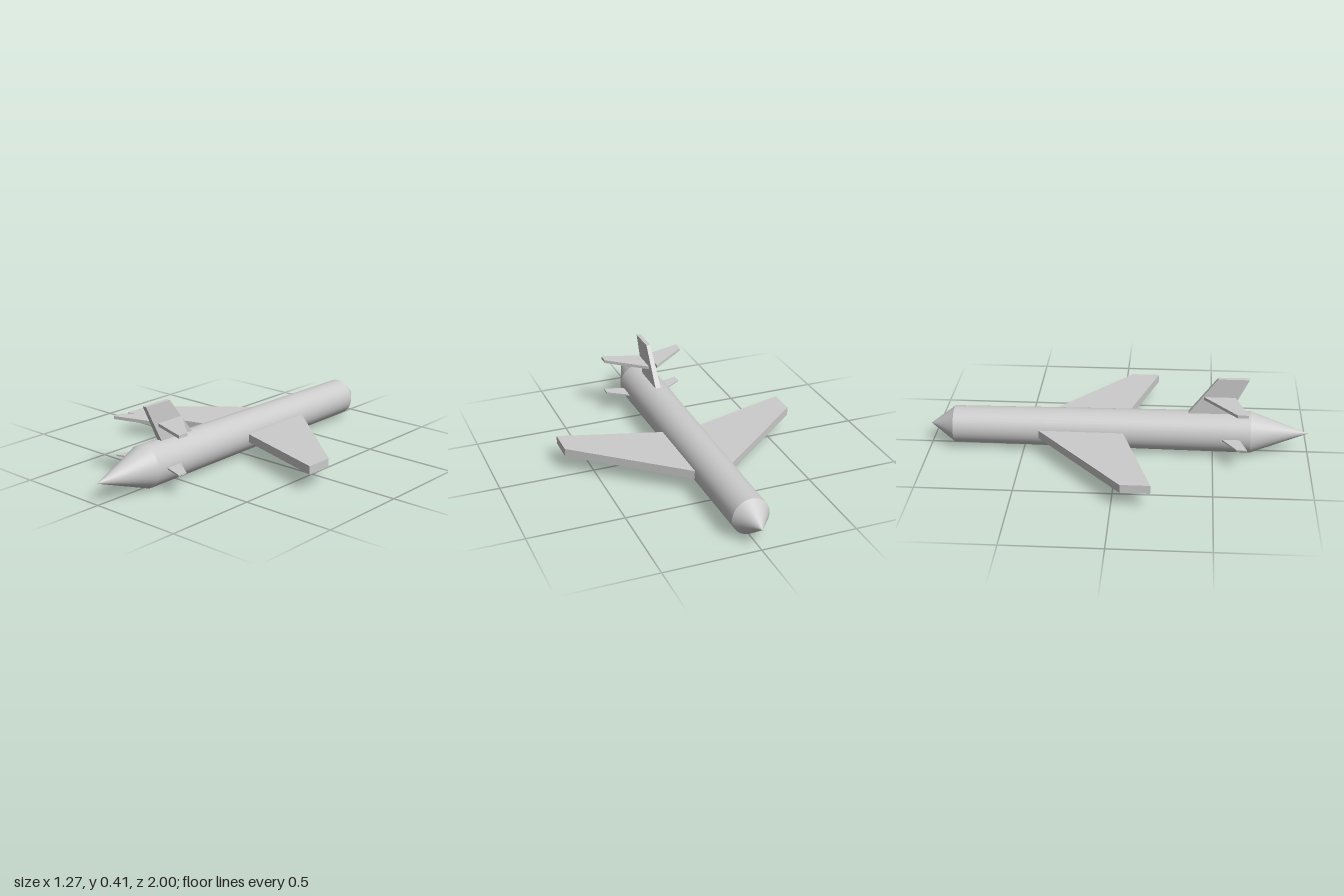
import * as THREE from 'three';

const AXIS_Y = 0.11;
const material = new THREE.MeshStandardMaterial({ color: 0xcccccc });

// Flat slab from a 2D outline, centred on its own thickness
function slab(points, thickness) {
  const shape = new THREE.Shape(points.map(([a, b]) => new THREE.Vector2(a, b)));
  return new THREE.ExtrudeGeometry(shape, { depth: thickness, bevelEnabled: false })
    .translate(0, 0, -thickness / 2);
}

export function createModel() {
  const model = new THREE.Group();
  model.name = 'aircraft';

  function add(name, geometry) {
    const mesh = new THREE.Mesh(geometry, material);
    mesh.name = name;
    model.add(mesh);
  }

  // Round fuselage section running from zBack to zFront
  function section(name, zBack, rBack, zFront, rFront) {
    const geometry = new THREE.CylinderGeometry(rFront, rBack, zFront - zBack, 36, 1, true);
    geometry.rotateX(Math.PI / 2).translate(0, AXIS_Y, (zBack + zFront) / 2);
    add(name, geometry);
  }
  section('noseCone', -1, 0, -0.87, 0.097);
  section('fuselage', -0.87, 0.097, 0.694, 0.11);
  section('tailCone', 0.694, 0.11, 1, 0);

  // Mirrored pair of horizontal surfaces; outline is given as [x, z]
  function pair(name, outline, y, thickness) {
    for (const [side, label] of [[1, 'left'], [-1, 'right']]) {
      const geometry = slab(outline.map(([x, z]) => [x * side, z]), thickness);
      add(label + name, geometry.rotateX(Math.PI / 2).translate(0, y, 0));
    }
  }
  pair('Wing', [[0.092, -0.42], [0.637, 0.045], [0.637, 0.195], [0.092, 0.028]], 0.109, 0.044);
  pair('Stabilizer', [[0.023, 0.447], [0.225, 0.617], [0.225, 0.674], [0.023, 0.61]], 0.309, 0.016);
  pair('SmallFin', [[0.1, 0.54], [0.217, 0.62], [0.217, 0.672], [0.1, 0.635]], 0.111, 0.008);

  // Swept vertical fin, outline as [z, y], thinning towards the top
  const fin = slab([[0.362, 0.208], [0.578, 0.208], [0.68, 0.414], [0.518, 0.414]], 0.03);
  fin.rotateY(-Math.PI / 2);
  const p = fin.attributes.position;
  for (let i = 0; i < p.count; i++) {
    if (p.getY(i) > 0.4) p.setX(i, p.getX(i) * 0.75);
  }
  fin.computeVertexNormals();
  add('verticalFin', fin);

  return model;
}
